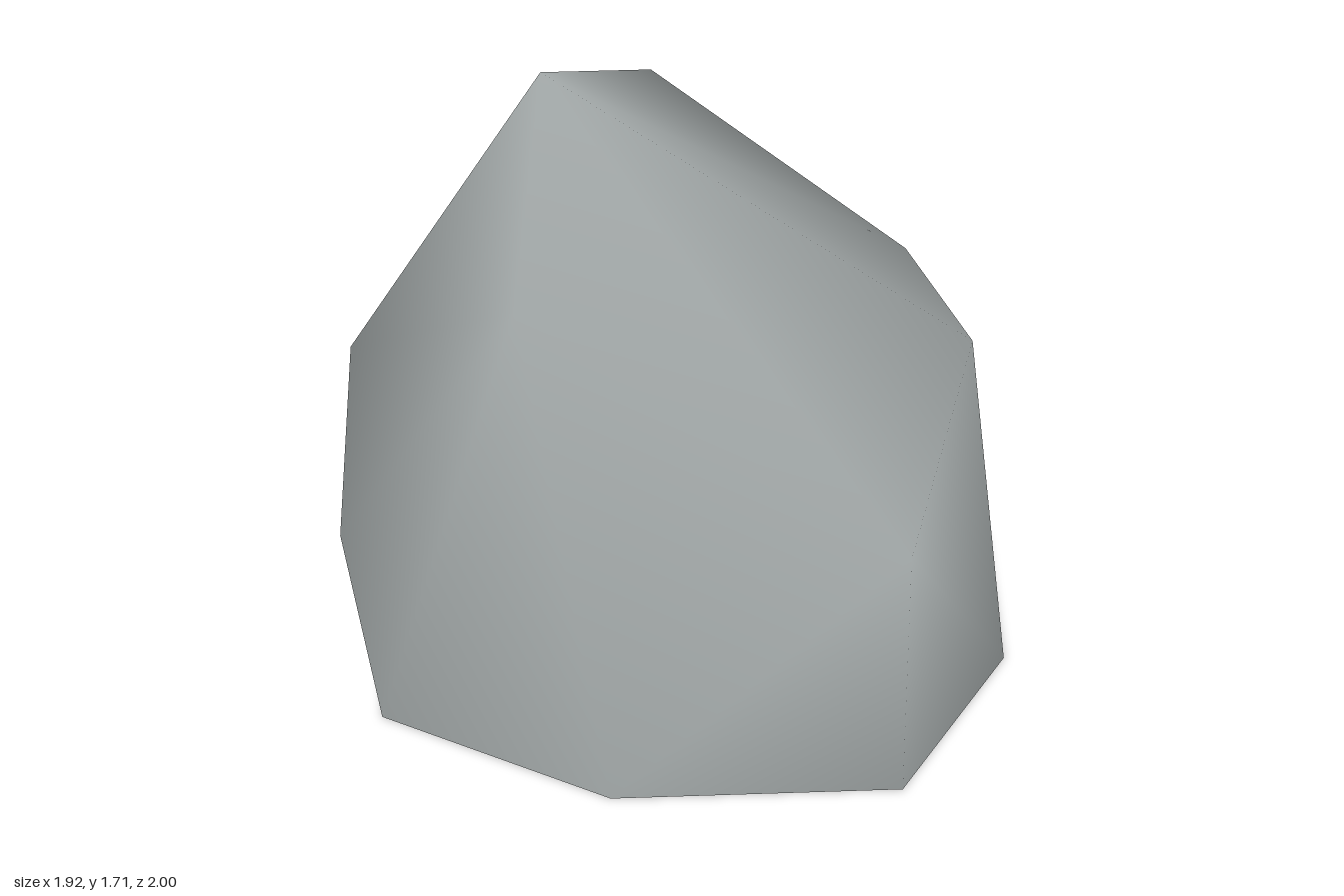
import * as THREE from 'three';

export function createModel() {
  const group = new THREE.Group();
  group.name = 'rock';
  const stone = new THREE.MeshStandardMaterial({ color: 0xa2a8a8, side: THREE.DoubleSide });
  stone.name = 'stone grey';

  // Ground outline, counterclockwise from the front: even = side middles, odd = corners
  const base = [
    [0.06, 0, 1], [0.8, 0, 0.77], [0.96, 0, 0.02], [0.8, 0, -0.7],
    [0.06, 0, -0.86], [-0.66, 0, -0.7], [-0.82, 0, 0.03], [-0.66, 0, 0.755],
  ];
  // Shoulder ring in the same order
  const shoulder = [
    [-0.23, 1.29, 0.82], [0.81, 0.72, 0.825], [0.83, 0.98, 0.02], [0.54, 0.99, -0.57],
    [-0.25, 1.45, -0.65], [-0.64, 0.57, -0.63], [-0.96, 0.79, 0.07], [-0.73, 0.59, 0.82],
  ];
  const peak = [-0.34, 1.71, 0.18];
  const backBulge = [0.06, 0.67, -1];

  const n = base.length, top = 2 * n, bulge = top + 1;
  const index = [];

  // Sides: two triangles per stretch, the back ones meeting at the bulge
  for (let i = 0; i < n; i++) {
    const j = (i + 1) % n;
    const b0 = i, b1 = j, s0 = n + i, s1 = n + j;
    if (i === 3) index.push(b0, b1, bulge, s0, b0, bulge, s1, s0, bulge);
    else if (i === 4) index.push(b0, b1, bulge, b1, s1, bulge, s1, s0, bulge);
    else if (i === 0 || i > 5) index.push(b0, b1, s1, b0, s1, s0);
    else index.push(b0, b1, s0, b1, s1, s0);
  }

  // Cap: six facets around the peak, plus one over each low left corner
  const crown = [0, 1, 2, 3, 4, 6];
  crown.forEach((c, k) => index.push(top, n + c, n + crown[(k + 1) % crown.length]));
  for (const c of [5, 7]) index.push(n + c - 1, n + c, n + (c + 1) % n);

  // Open-bottomed smooth shell
  const geometry = new THREE.BufferGeometry();
  geometry.setAttribute('position', new THREE.Float32BufferAttribute(
    [...base, ...shoulder, peak, backBulge].flat(), 3));
  geometry.setIndex(index);
  geometry.computeVertexNormals();

  const shell = new THREE.Mesh(geometry, stone);
  shell.name = 'rockShell';
  group.add(shell);
  return group;
}
